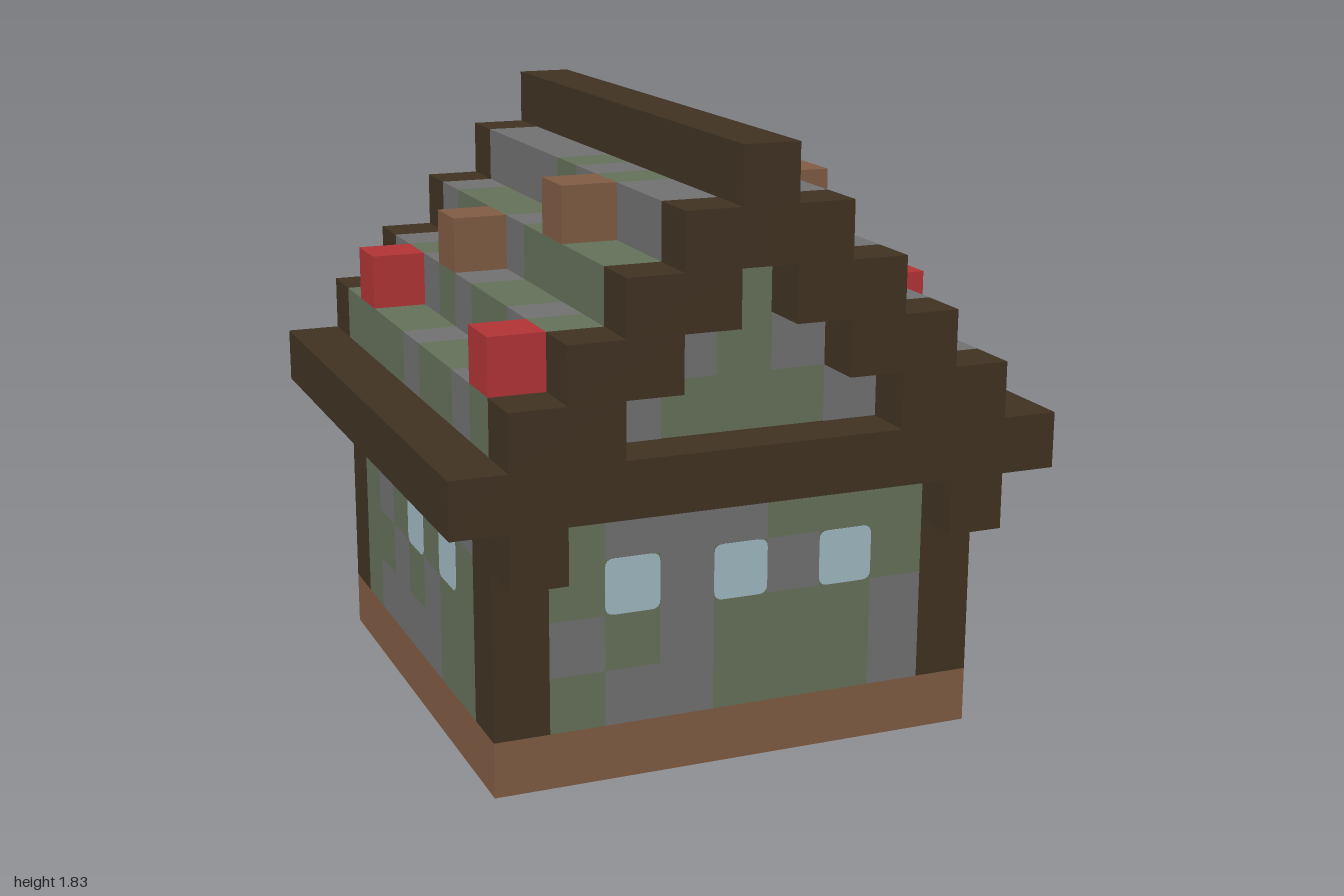
import * as THREE from 'three';

const U = 1 / 6; // edge length of one block
const mat = (name, color) => {
  const m = new THREE.MeshStandardMaterial({ color });
  m.name = name;
  return m;
};

export function createModel() {
  const house = new THREE.Group();
  house.name = 'blockHouse';
  const timber = mat('darkTimber', 0x403222);
  const brick = mat('brick', 0x7f5b43);
  const stone = mat('stone', 0x707070);
  const moss = mat('mossyStone', 0x647058);
  const glass = mat('glass', 0x9fb8c0);
  const red = mat('red', 0xb03335);
  const gold = mat('oakPlank', 0x857040);
  const tone = { S: stone, G: moss, D: timber, W: moss };

  // Box between two corners, in block units
  function box(name, m, x0, x1, y0, y1, z0, z1, parent = house) {
    const g = new THREE.BoxGeometry((x1 - x0) * U, (y1 - y0) * U, (z1 - z0) * U);
    const mesh = new THREE.Mesh(g, m);
    mesh.position.set((x0 + x1) / 2 * U, (y0 + y1) / 2 * U, (z0 + z1) / 2 * U);
    mesh.name = name;
    parent.add(mesh);
    return mesh;
  }
  // One block: centred on x, starting at y and z
  const block = (name, m, x, y, z) => box(name, m, x - 0.5, x + 0.5, y, y + 1, z, z + 1);

  // Foundation and hidden wall core
  box('foundation', brick, -4.5, 4.5, 0, 1, -4, 5);
  box('wallCore', moss, -4.48, 4.48, 1, 5, -3.98, 4.98);

  // Corner posts and the brackets under the gable overhangs
  for (const x of [-4, 4]) {
    for (const z of [-4, 4]) box('cornerPost', timber, x - 0.5, x + 0.5, 1, 5, z, z + 1);
    for (const z of [-5, 5]) block('bracket', timber, x, 4, z);
  }

  // Rounded window pane
  const pane = new THREE.Shape();
  const h = 0.5, r = 0.16;
  pane.moveTo(-h + r, -h);
  pane.lineTo(h - r, -h).quadraticCurveTo(h, -h, h, -h + r);
  pane.lineTo(h, h - r).quadraticCurveTo(h, h, h - r, h);
  pane.lineTo(-h + r, h).quadraticCurveTo(-h, h, -h, h - r);
  pane.lineTo(-h, -h + r).quadraticCurveTo(-h, -h, -h + r, -h);
  const paneGeo = new THREE.ExtrudeGeometry(pane, { depth: 0.04, bevelEnabled: false, curveSegments: 4 });
  paneGeo.scale(U, U, U);

  // Wall facing: rows from top to bottom, columns left to right seen from outside
  function wall(name, rows, x, z, turn) {
    const g = new THREE.Group();
    g.name = name;
    rows.forEach((row, j) => [...row].forEach((c, i) => {
      const cx = i - 3, y = 4 - j;
      box('wallBlock', tone[c], cx - 0.5, cx + 0.5, y, y + 1, -0.02, 0, g);
      if (c === 'W') {
        const w = new THREE.Mesh(paneGeo, glass);
        w.name = 'window';
        w.position.set(cx * U, (y + 0.5) * U, -0.03 * U);
        g.add(w);
      }
    }));
    g.position.set(x * U, 0, z * U);
    g.rotation.y = turn;
    house.add(g);
  }
  wall('frontWall', ['GSSSGGG', 'GWSWSWG', 'SGSGGGS', 'GSSGGGS'], 0, 5, 0);
  wall('leftWall', ['SGGGGGG', 'SWSWGSG', 'GGSGGGG', 'GSSSSSG'], 4.5, 0.5, Math.PI / 2);
  wall('backWall', ['SSSGGGG', 'SWGDGWG', 'SSGDSSS', 'SSGDGSS'], 0, -4, Math.PI);
  wall('rightWall', ['GGGGGGS', 'GSGWGWG', 'GGSGSGG', 'GSSSSGG'], -4.5, 0.5, -Math.PI / 2);

  // Eaves, end beams and ridge
  for (const x of [-5, 5]) box('eave', timber, x - 0.5, x + 0.5, 5, 6, -5, 6);
  for (const z of [-5, 5]) box('gableBeam', timber, -4.5, 4.5, 5, 6, z, z + 1);
  box('ceiling', timber, -4.5, 4.5, 5, 6, -4, 5);
  box('ridge', timber, -0.5, 0.5, 10, 11, -5, 6);

  // Stepped roof: tile colours run from back to front
  const tiles = {
    '-4': 'GGGGSGGSG', '-3': 'SGSGSGGSG', '-2': 'SGGGSGGGG', '-1': 'SSSSGSGSS',
    1: 'GGSSSGGSS', 2: 'GSSGSGGSS', 3: 'SSSGSGGSS', 4: 'SSSSSSGSS',
  };
  const lowestRiser = 'SSSSGSGGG';
  for (let y = 6; y < 10; y++) {
    const n = 10 - y;
    box('gableWall', moss, -n + 0.5, n - 0.5, y, y + 1, -4, 5);
    for (const s of [-1, 1]) {
      const x = s * n;
      [...tiles[x]].forEach((c, i) => {
        const side = x === 4 ? tone[lowestRiser[i]] : tone[c];
        block('roofTile', [side, side, tone[c], side, side, side], x, y, i - 4);
      });
      // Stepped barge boards at both ends
      for (const z of [-5, 5]) {
        const a = s * (n + 0.5), b = s * Math.max(n - 1.5, 0);
        box('bargeBoard', timber, Math.min(a, b), Math.max(a, b), y, y + 1, z, z + 1);
      }
    }
  }
  // Stone patches on the gables
  for (const x of [-2, -1, 1, 2]) {
    const y = 8 - Math.abs(x);
    box('gablePatch', stone, x - 0.5, x + 0.5, y, y + 1, 4.98, 5.02);
    box('gablePatch', stone, x - 0.5, x + 0.5, y, y + 1, -4.02, -3.98);
  }

  // Loose blocks on the roof
  for (const [x, y, z] of [[3, 8, -3], [2, 9, -2], [2, 9, 2], [-3, 8, -1], [-2, 9, 2]])
    block('roofBrick', brick, x, y, z);
  for (const [x, y, z] of [[4, 7, 2], [-4, 7, -3], [-4, 7, 4]])
    block('redRoofBlock', red, x, y, z);

  // Back porch and steps
  box('porchBase', brick, -0.5, 1.5, 0, 1, -5, -4);
  block('porchPlank', gold, -1, 0, -5);
  box('plankStep', gold, -1.5, 1.5, 0, 1, -6, -5);
  box('mossyPorch', moss, -0.5, 1.5, 1, 2, -5, -4);
  block('porchStone', stone, -1, 1, -5);
  block('stepStone', stone, 0, 1, -6);
  block('looseStone', stone, 3, 0, -6);

  return house;
}
